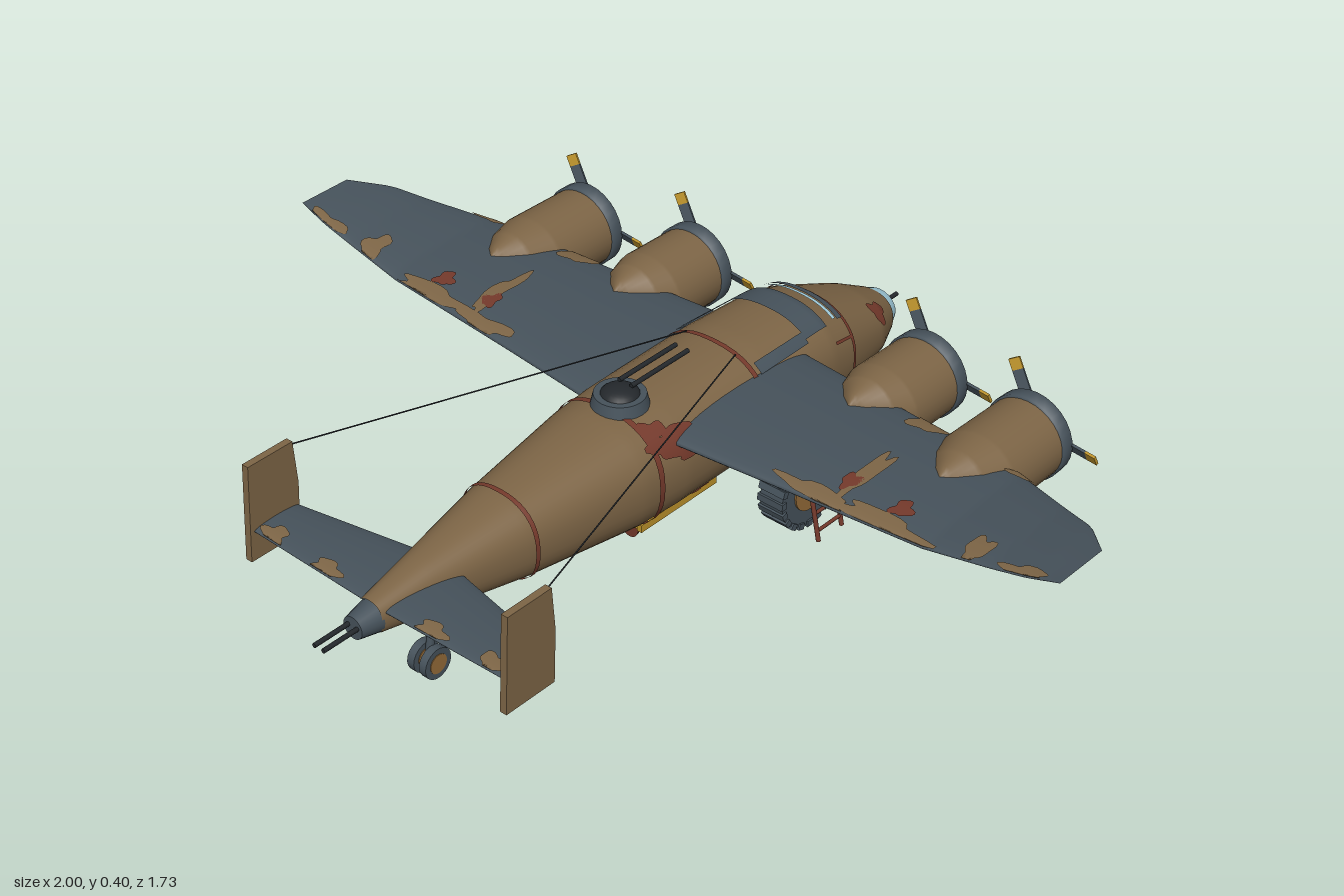
import * as THREE from 'three';
import { ParametricGeometry } from 'three/addons/geometries/ParametricGeometry.js';

const mat = (name, color, side = THREE.FrontSide) => {
  const m = new THREE.MeshStandardMaterial({ color, side });
  m.name = name;
  return m;
};

// piecewise-linear station lookup: each row is [position, ...values]
function station(rows, p) {
  let i = 0;
  while (i < rows.length - 2 && p > rows[i + 1][0]) i++;
  const a = rows[i], b = rows[i + 1];
  const t = THREE.MathUtils.clamp((p - a[0]) / (b[0] - a[0]), 0, 1);
  return a.slice(1).map((v, k) => v + (b[k + 1] - v) * t);
}

// fuselage stations: z, half width, bottom, top
const BODY = [
  [-0.775, 0.06, 0.127, 0.232], [-0.7, 0.098, 0.115, 0.27], [-0.55, 0.13, 0.105, 0.332],
  [-0.48, 0.138, 0.102, 0.353], [-0.3, 0.147, 0.1, 0.36], [0, 0.146, 0.1, 0.357],
  [0.1, 0.14, 0.102, 0.352], [0.38, 0.098, 0.132, 0.322], [0.6, 0.055, 0.167, 0.287], [0.73, 0.033, 0.19, 0.262],
];
function bodyPoint(a, z, off, out) {
  const [w, b, t] = station(BODY, z);
  const c = Math.cos(a), s = Math.sin(a), e = 0.85;
  return out.set(
    (w + off) * Math.sign(c) * Math.abs(c) ** e,
    (b + t) / 2 + ((t - b) / 2 + off) * Math.sign(s) * Math.abs(s) ** e, z);
}

// lifting surfaces: x, leading z, trailing z, height, half thickness
const WING = [
  [0.08, -0.405, 0.02, 0.3, 0.024], [0.35, -0.38, -0.005, 0.303, 0.021], [0.7, -0.345, -0.03, 0.31, 0.015],
  [0.85, -0.285, -0.04, 0.334, 0.011], [0.93, -0.25, -0.042, 0.352, 0.008], [1, -0.18, -0.048, 0.372, 0],
];
const STAB = [[0, 0.53, 0.72, 0.243, 0.013], [0.34, 0.6, 0.715, 0.247, 0.008]];

// painted patches on those surfaces: x, z, radii
const WING_BROWN = [[0.47, -0.36, 0.04, 0.04], [0.49, -0.13, 0.018, 0.09], [0.44, -0.03, 0.08, 0.02], [0.6, -0.04, 0.1, 0.022],
  [0.8, -0.07, 0.025, 0.04], [0.92, -0.05, 0.05, 0.018], [0.72, -0.34, 0.04, 0.02]];
const WING_RED = [[0.61, -0.09, 0.022, 0.025], [0.48, -0.095, 0.018, 0.025]];
const UNDER_RED = [[0.82, -0.15, 0.04, 0.035]];
const STAB_BROWN = [[0.14, 0.705, 0.035, 0.018], [0.29, 0.7, 0.03, 0.022]];

export function createModel() {
  const root = new THREE.Group();
  const brown = mat('earth brown', 0x7d6546), slate = mat('slate', 0x46525b), red = mat('rust red', 0x74392b);
  const gold = mat('gold', 0xbd932b), glass = mat('pale glass', 0xa6d3e3), black = mat('gunmetal', 0x24282c);
  const copper = mat('copper', 0x946b38);
  const redPaint = mat('rust red paint', 0x74392b, THREE.DoubleSide);
  const brownPaint = mat('earth brown paint', 0x7d6546, THREE.DoubleSide);
  const slatePaint = mat('slate paint', 0x46525b, THREE.DoubleSide);

  const add = (name, geo, m, x = 0, y = 0, z = 0, parent = root) => {
    const mesh = new THREE.Mesh(geo, m);
    mesh.name = name;
    mesh.position.set(x, y, z);
    parent.add(mesh);
    return mesh;
  };
  const TAU = Math.PI * 2;
  const box = (x, y, z) => new THREE.BoxGeometry(x, y, z);
  const cylX = (r, len, n = 24) => new THREE.CylinderGeometry(r, r, len, n).rotateZ(Math.PI / 2);
  const cylZ = (r1, r2, len, n = 20) => new THREE.CylinderGeometry(r1, r2, len, n).rotateX(Math.PI / 2);
  function rod(name, a, b, r, m) {
    const p = new THREE.Vector3(...a), q = new THREE.Vector3(...b), d = q.clone().sub(p);
    const mesh = add(name, new THREE.CylinderGeometry(r, r, d.length(), 8), m);
    mesh.position.copy(p).add(q).multiplyScalar(0.5);
    mesh.quaternion.setFromUnitVectors(new THREE.Vector3(0, 1, 0), d.normalize());
  }

  // fuselage and plates that follow its skin
  const skin = (name, z0, z1, a0, a1, off, m, n = 4) => add(name, new ParametricGeometry((u, v, o) =>
    bodyPoint(a0 + (a1 - a0) * u, z0 + (z1 - z0) * v, off, o), 40, n), m);
  skin('fuselage', -0.775, 0.73, 0, TAU, 0, brown, 64);
  for (const [z, w] of [[-0.55, 0.005], [-0.245, 0.006], [0.07, 0.007], [0.38, 0.005]])
    skin('redBand', z - w, z + w, 0, TAU, 0.003, redPaint, 1);
  for (const a of [0.42, 2.66]) skin('canopyFrame', -0.55, -0.49, a, a + 0.06, 0.003, redPaint);
  skin('canopyFront', -0.543, -0.526, 0.85, 2.29, 0.008, slatePaint);
  skin('windshield', -0.526, -0.515, 0.88, 2.26, 0.005, glass);
  skin('canopyTop', -0.485, -0.415, 0.8, 2.34, 0.004, slatePaint);
  for (const a of [0.72, 2.2]) skin('canopySide', -0.415, -0.26, a, a + 0.22, 0.004, slatePaint);

  // irregular paint blobs, laid on a surface by a mapping rule
  const blob = (name, m, seed, place) => add(name, new ParametricGeometry((u, v, o) => {
    const t = u * TAU, r = v * (1 + 0.22 * Math.sin(3 * t + seed) + 0.14 * Math.sin(5 * t + seed * 2));
    place(r * Math.cos(t), r * Math.sin(t), o);
  }, 28, 5), m);
  for (const [a, z, ra, rz] of [[0.6, 0.02, 0.25, 0.055], [0.35, -0.05, 0.22, 0.05], [-0.95, -0.09, 0.15, 0.03],
    [0.7, -0.69, 0.32, 0.024], [0.9, 0.05, 0.2, 0.03], [-0.6, -0.32, 0.2, 0.04]])
    blob('rustPatch', redPaint, a * 7, (p, q, o) => bodyPoint(a + p * ra, z + q * rz, 0.003, o));

  // glazed nose with gun
  const noseProfile = [[0, -0.045], [0.025, -0.042], [0.045, -0.028], [0.059, 0]].map((p) => new THREE.Vector2(...p));
  add('noseGlass', new THREE.LatheGeometry(noseProfile, 24).rotateX(Math.PI / 2), glass, 0, 0.18, -0.775).scale.y = 0.88;
  add('noseMount', cylZ(0.02, 0.015, 0.014), slate, 0, 0.178, -0.817);
  add('noseGun', cylZ(0.005, 0.005, 0.06, 8), black, 0, 0.178, -0.835);

  // tail turret, dorsal turret and their twin guns
  add('tailTurret', cylZ(0.025, 0.035, 0.05), slate, 0, 0.224, 0.75);
  add('dorsalBase', new THREE.CylinderGeometry(0.054, 0.06, 0.026, 24), slate, 0, 0.363, 0.035);
  add('dorsalDome', new THREE.SphereGeometry(0.042, 20, 8, 0, TAU, 0, Math.PI / 2), black, 0, 0.37, 0.035).scale.y = 0.5;
  for (const s of [-1, 1]) {
    add('tailGun', cylZ(0.005, 0.005, 0.1, 8), black, s * 0.012, 0.228, 0.812);
    add('dorsalGun', cylZ(0.005, 0.005, 0.17, 8), black, s * 0.016, 0.391, -0.065);
  }

  // wing and tailplane surface from its stations
  function surface(name, rows, s, m) {
    const x0 = rows[0][0], x1 = rows.at(-1)[0];
    add(name, new ParametricGeometry((u, v, o) => {
      const x = x0 + (x1 - x0) * v, a = (s > 0 ? u : 1 - u) * TAU;
      const [le, te, y, th] = station(rows, x);
      o.set(s * x, y + th * Math.sin(a), (le + te) / 2 - Math.cos(a) * (te - le) / 2);
    }, 32, 46), m);
  }
  // patches on the upper (side 1) or lower (side -1) face
  const paint = (name, m, rows, list, s, side) => list.forEach(([cx, cz, rx, rz], i) =>
    blob(name, m, i * 2 + s, (p, q, o) => {
      const x = Math.min(cx + p * rx, 0.99), [le, te, y, th] = station(rows, x);
      const z = THREE.MathUtils.clamp(cz + q * rz, le + 0.001, te - 0.001);
      const k = (2 * z - le - te) / (te - le);
      o.set(s * x, y + side * (th * Math.sqrt(1 - k * k) + 0.003), z);
    }));

  // engine nacelle, cowling, radial engine and propeller
  function engine(x, front, rear) {
    const g = new THREE.Group();
    g.name = 'engine';
    g.position.set(x, 0.268, front);
    root.add(g);
    const L = rear - front;
    // teardrop above the wing, blunt below it
    const upper = [[0.035, 0.092, 0.088], [L * 0.6, 0.094, 0.09], [L * 0.78, 0.075, 0.084], [L * 0.92, 0.04, 0.07], [L, 0.002, 0.05]];
    const lower = [[0.035, 0.092, 0.088], [L * 0.6, 0.094, 0.09], [L - 0.025, 0.084, 0.086], [L, 0.074, 0.078]];
    add('nacelle', new ParametricGeometry((u, v, o) => {
      const z = 0.035 + (L - 0.035) * v, a = u * TAU;
      const [w, h] = station(Math.sin(a) < 0.25 ? lower : upper, z);
      o.set(w * Math.cos(a), h * Math.sin(a), z);
    }, 32, 32), brown, 0, 0, 0, g);
    const capArc = new THREE.Shape().absellipse(0, 0, 0.075, 0.079, Math.PI - 0.2, TAU + 0.2, false);
    add('nacelleRearCap', new THREE.ShapeGeometry(capArc, 24), slatePaint, 0, 0, L, g);
    const ring = [[0.07, 0.04], [0.07, 0.005], [0.082, 0], [0.094, 0.01], [0.095, 0.042], [0.07, 0.04]].map((p) => new THREE.Vector2(...p));
    add('cowling', new THREE.LatheGeometry(ring, 28).rotateX(Math.PI / 2), slatePaint, 0, 0, 0, g);
    add('engineBack', cylZ(0.075, 0.075, 0.01, 24), black, 0, 0, 0.035, g);
    for (let i = 0; i < 9; i++) {
      const a = i * TAU / 9;
      add('engineCylinder', box(0.05, 0.022, 0.02), slate, 0.045 * Math.cos(a), 0.045 * Math.sin(a), 0.02, g).rotation.z = a;
    }
    add('spinner', new THREE.ConeGeometry(0.03, 0.068, 18).rotateX(-Math.PI / 2), copper, 0, 0, -0.014, g);
    const propeller = new THREE.Group();
    propeller.name = 'propeller';
    propeller.rotation.y = -0.1;
    g.add(propeller);
    for (let i = 0; i < 3; i++) {
      const hub = new THREE.Group();
      hub.name = 'propellerBlade';
      hub.position.z = -0.004;
      hub.rotation.z = i * TAU / 3;
      propeller.add(hub);
      add('blade', box(0.115, 0.024, 0.006), slate, 0.07, 0, 0, hub).rotation.x = 0.45;
      add('bladeTip', box(0.025, 0.024, 0.006), gold, 0.14, 0, 0, hub).rotation.x = 0.45;
    }
  }

  // twin fins
  const fin = new THREE.Shape([[0.6, 0.18], [0.728, 0.18], [0.718, 0.4], [0.603, 0.4], [0.595, 0.3]].map((p) => new THREE.Vector2(...p)));
  const finGeo = new THREE.ExtrudeGeometry(fin, { depth: 0.016, bevelEnabled: false }).rotateY(-Math.PI / 2).translate(0.008, 0, 0);

  for (const s of [-1, 1]) {
    surface('wing', WING, s, slate);
    surface('tailplane', STAB, s, slate);
    paint('wingBrownPatch', brownPaint, WING, WING_BROWN, s, 1);
    paint('tailplaneBrownPatch', brownPaint, STAB, STAB_BROWN, s, 1);
    paint('wingRustPatch', redPaint, WING, WING_RED, s, 1);
    paint('underwingRustPatch', redPaint, WING, UNDER_RED, s, -1);
    engine(s * 0.6, -0.542, -0.21);
    engine(s * 0.315, -0.577, -0.29);
    add('fin', finGeo, brown, s * 0.34);
    rod('aerialWire', [s * 0.335, 0.392, 0.6], [s * 0.065, 0.358, -0.24], 0.0015, black);

    // main landing gear
    const wx = s * 0.217, wy = 0.097, wz = -0.27;
    add('mainWheel', cylX(0.09, 0.058), slate, wx, wy, wz);
    add('wheelHub', cylX(0.05, 0.066), copper, wx, wy, wz);
    for (let i = 0; i < 20; i++) {
      const a = i * TAU / 20;
      add('treadBlock', box(0.066, 0.014, 0.016), slate, wx, wy + 0.087 * Math.sin(a), wz + 0.087 * Math.cos(a)).rotation.x = -a + Math.PI / 2;
    }
    for (const d of [-0.036, 0.036]) rod('gearLeg', [wx + d, 0.15, wz], [wx + d * 0.8, 0.3, wz], 0.009, slate);
    add('gearYoke', box(0.09, 0.02, 0.055), slate, wx, 0.205, wz);
    rod('gearBrace', [wx - s * 0.035, 0.13, wz], [s * 0.14, 0.2, wz + 0.01], 0.007, red);

    // tail wheels
    add('tailWheel', cylX(0.035, 0.018, 18), slate, s * 0.016, 0.036, 0.585);
    add('tailWheelHub', cylX(0.022, 0.021, 18), copper, s * 0.016, 0.036, 0.585);

    // bombs and yellow rack rails
    add('bombRail', box(0.012, 0.018, 0.23), gold, s * 0.078, 0.097, -0.05);
    add('bombBody', cylZ(0.021, 0.021, 0.15, 16), slate, s * 0.045, 0.08, -0.045);
    add('bombNose', new THREE.SphereGeometry(0.021, 16, 10), gold, s * 0.045, 0.08, -0.12).scale.z = 1.8;
    add('bombTail', cylZ(0.023, 0.016, 0.03, 16), red, s * 0.045, 0.08, 0.043);
    for (const z of [-0.09, 0.01]) add('bombStrap', cylZ(0.0225, 0.0225, 0.01, 16), gold, s * 0.045, 0.08, z);
  }
  for (const z of [-0.155, -0.08, 0, 0.055]) add('bombCrossbar', box(0.156, 0.012, 0.014), gold, 0, 0.095, z);
  rod('tailStrut', [0, 0.035, 0.585], [0, 0.19, 0.562], 0.009, slate);
  add('tailAxle', cylX(0.007, 0.05, 10), slate, 0, 0.036, 0.585);

  // boarding ladder beside the left wheel
  const LOW = [0.3, 0.008], HIGH = [0.24, 0.29];
  for (const z of [-0.235, -0.31]) rod('ladderRail', [...LOW, z], [...HIGH, z], 0.005, red);
  for (let i = 0; i < 6; i++) {
    const t = 0.08 + i * 0.14, x = LOW[0] + (HIGH[0] - LOW[0]) * t, y = LOW[1] + (HIGH[1] - LOW[1]) * t;
    rod('ladderRung', [x, y, -0.235], [x, y, -0.31], 0.004, red);
  }
  return root;
}
